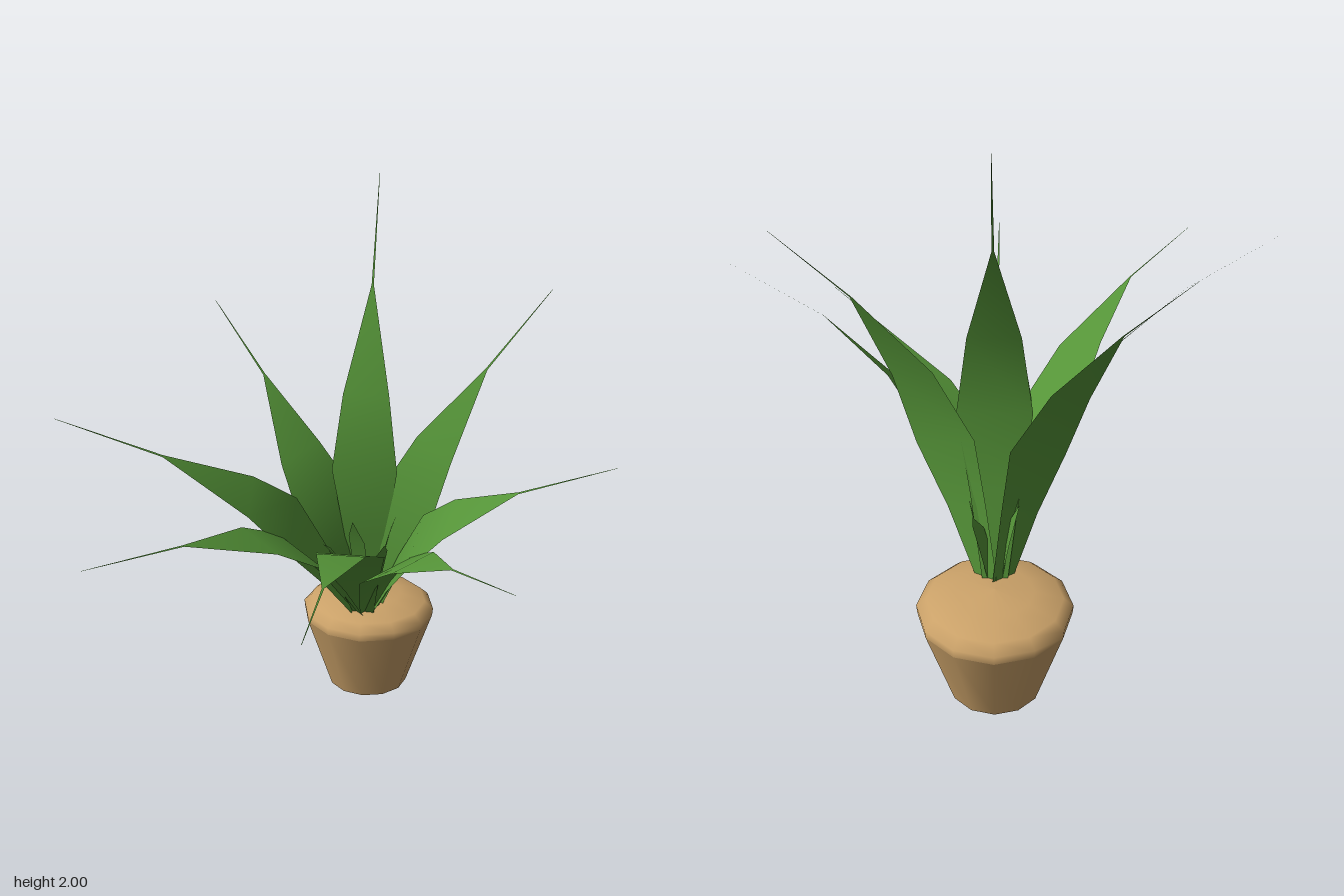
import * as THREE from 'three';

const leafGreen = new THREE.MeshStandardMaterial({ color: 0x559438, side: THREE.DoubleSide });
leafGreen.name = 'leafGreen';
const clay = new THREE.MeshStandardMaterial({ color: 0xcba269 });
clay.name = 'clay';

// Flat ribbon leaf: spine points, half widths, and a turn about the tilted plant axis
function makeLeaf(name, spine, halfWidths, turn) {
  const a = THREE.MathUtils.degToRad(turn);
  const tilt = THREE.MathUtils.degToRad(35);
  const side = new THREE.Vector3(
    Math.cos(a), -Math.sin(tilt) * Math.sin(a), Math.cos(tilt) * Math.sin(a));
  const positions = [], index = [];
  spine.forEach((p, i) => {
    for (const s of [-1, 1]) {
      positions.push(...p.clone().addScaledVector(side, s * halfWidths[i]).toArray());
    }
    if (i > 0) {
      const k = 2 * (i - 1);
      index.push(k, k + 1, k + 3, k, k + 3, k + 2);
    }
  });
  const geometry = new THREE.BufferGeometry();
  geometry.setAttribute('position', new THREE.Float32BufferAttribute(positions, 3));
  geometry.setIndex(index);
  geometry.computeVertexNormals();
  const mesh = new THREE.Mesh(geometry, leafGreen);
  mesh.name = name;
  return mesh;
}

// Large leaf through its widest point, shoulder, tip and needle end; the root follows by rule
function makeBigLeaf(name, turn, ...points) {
  const outer = points.map((p) => new THREE.Vector3(...p));
  const belly = outer[0];
  const root = new THREE.Vector3(
    0.04 + (belly.x - 0.04) * 0.15, 0.37, -0.59 + (belly.z + 0.49) * 0.25);
  const neck = root.clone().lerp(belly, 0.5).add(new THREE.Vector3(0, 0.02, 0.01));
  return makeLeaf(name, [root, neck, ...outer], [0.04, 0.08, 0.122, 0.085, 0.004, 0.0008], turn);
}

// Short young leaf arching from the heart of the plant to its tip
function makeYoungLeaf(name, turn, tip) {
  const root = new THREE.Vector3(0.04 + (tip.x - 0.04) * 0.2, 0.37, -0.57);
  const spine = [0, 0.35, 0.68, 1].map((t) => {
    const p = root.clone().lerp(tip, t);
    p.y += 0.05 * Math.sin(Math.PI * t);
    return p;
  });
  return makeLeaf(name, spine, [0.018, 0.035, 0.035, 0.001], turn);
}

// Twelve-sided pot with a tapered wall and a rounded top
function makePot() {
  const pot = new THREE.Group();
  pot.name = 'pot';
  pot.position.set(0.04, 0, -0.65);
  const lathe = (name, profile) => {
    const points = profile.map(([r, y]) => new THREE.Vector2(r, y));
    const mesh = new THREE.Mesh(new THREE.LatheGeometry(points, 12), clay);
    mesh.name = name;
    pot.add(mesh);
  };
  lathe('potBase', [[0, 0], [0.155, 0]]);
  lathe('potWall', [[0.155, 0], [0.255, 0.3]]);
  lathe('potTop', [[0.255, 0.3], [0.258, 0.33], [0.225, 0.36], [0.13, 0.388], [0, 0.397]]);
  return pot;
}

export function createModel() {
  const model = new THREE.Group();
  model.name = 'pottedPlant';
  model.add(makePot());

  // Large leaves, each ending in a thin needle
  model.add(
    makeBigLeaf('backLeaf', 0,
      [0.04, 0.97, -0.49], [0.04, 1.26, -0.52], [0.04, 1.63, -0.68], [0.04, 2, -0.85]),
    makeBigLeaf('frontLeaf', 0,
      [0.04, 0.8, -0.13], [0.04, 0.91, 0.1], [0.04, 0.98, 0.48], [0.04, 1, 0.88]),
    makeBigLeaf('backRightLeaf', -42,
      [-0.1, 0.82, -0.49], [-0.2, 1.03, -0.49], [-0.35, 1.3, -0.58], [-0.55, 1.54, -0.69]),
    makeBigLeaf('backLeftLeaf', 38,
      [0.2, 0.85, -0.47], [0.3, 1.09, -0.45], [0.475, 1.39, -0.5], [0.69, 1.66, -0.61]),
    makeBigLeaf('sideRightLeaf', 88,
      [-0.19, 0.83, -0.27], [-0.32, 0.99, -0.155], [-0.6, 1.18, -0.03], [-0.94, 1.34, 0.08]),
    makeBigLeaf('sideLeftLeaf', -80,
      [0.25, 0.78, -0.3], [0.38, 0.93, -0.2], [0.62, 1.1, -0.08], [0.94, 1.25, 0.01]),
    makeBigLeaf('frontRightLeaf', 35,
      [-0.14, 0.79, -0.15], [-0.25, 0.92, 0.05], [-0.44, 1.03, 0.35], [-0.68, 1.08, 0.67]),
    makeBigLeaf('frontLeftLeaf', -35,
      [0.17, 0.72, -0.2], [0.27, 0.83, -0.04], [0.42, 0.91, 0.15], [0.64, 0.96, 0.4]),
  );

  // Young leaves: tip position and turn
  const youngLeaves = [
    [0.15, 0.8, -0.22, -45], [0.17, 0.83, -0.42, -80], [-0.08, 0.76, -0.28, 50],
    [-0.04, 0.68, -0.58, 75], [0.11, 0.66, -0.62, -60], [0.01, 0.8, -0.4, 25],
  ];
  youngLeaves.forEach(([x, y, z, turn], n) => {
    model.add(makeYoungLeaf('youngLeaf' + (n + 1), turn, new THREE.Vector3(x, y, z)));
  });

  return model;
}
